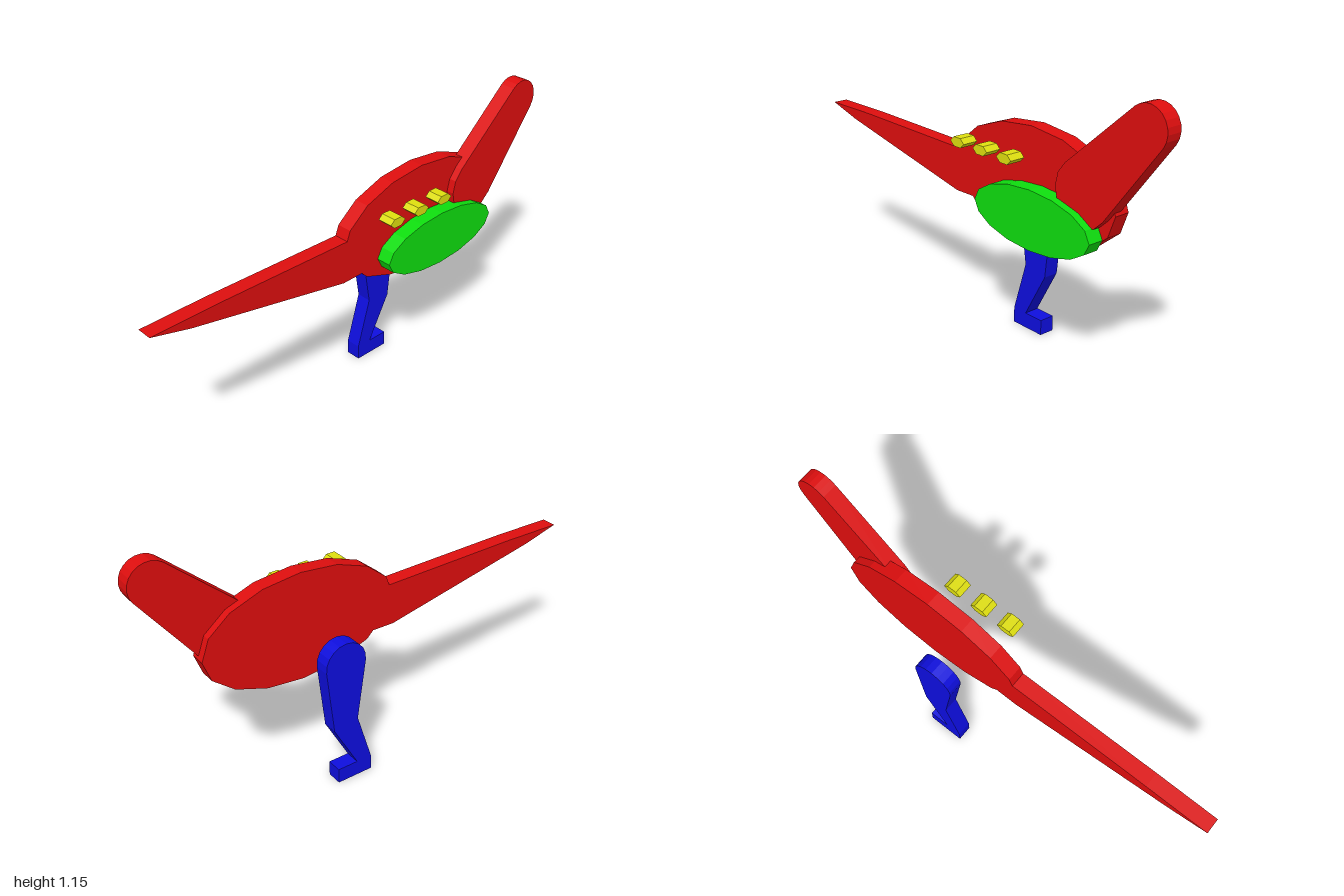
import * as THREE from 'three';

const DEPTH = 0.067;
const paint = (name, color) => {
  const m = new THREE.MeshStandardMaterial({ color });
  m.name = name;
  return m;
};

// Points along an elliptical arc, angles in degrees
function arc(cx, cy, rx, ry, from, to, steps) {
  const pts = [];
  for (let i = 0; i <= steps; i++) {
    const a = THREE.MathUtils.degToRad(from + ((to - from) * i) / steps);
    pts.push([cx + rx * Math.cos(a), cy + ry * Math.sin(a)]);
  }
  return pts;
}

// Flat cut-out with its back face at the given z
function cutout(name, points, z, material) {
  const shape = new THREE.Shape(points.map(([x, y]) => new THREE.Vector2(x, y)));
  const geometry = new THREE.ExtrudeGeometry(shape, { depth: DEPTH, bevelEnabled: false });
  const mesh = new THREE.Mesh(geometry, material);
  mesh.name = name;
  mesh.position.z = z;
  return mesh;
}

export function createModel() {
  const red = paint('red', 0xdd0e0e);
  const green = paint('green', 0x0edd0e);
  const blue = paint('blue', 0x0e0edd);
  const yellow = paint('yellow', 0xdddd0e);
  const model = new THREE.Group();
  model.name = 'bird';

  // Oval body running into a long pointed tail
  model.add(cutout('bodyAndTail', [
    ...arc(0.335, 0.703, 0.432, 0.234, -135, 157.5, 13),
    [-0.08, 0.75], [-0.72, 0.758], [-1, 0.755], [-0.83, 0.71], [-0.1, 0.565], [0, 0.567],
  ], -DEPTH / 2, red));

  // Neck and head: a tapered bar rounded at both ends
  model.add(cutout('neckAndHead', [
    ...arc(0.912, 1.06, 0.087, 0.087, -35, 130, 10),
    ...arc(0.63, 0.755, 0.13, 0.13, 130, 325, 8),
  ], 0, red));

  // Wing
  model.add(cutout('wing', arc(0.4, 0.597, 0.31, 0.121, 0, 337.5, 15), DEPTH / 2, green));

  // Bent leg with a foot
  model.add(cutout('legAndFoot', [
    [0.11, 0], [0.272, 0], [0.272, 0.066], [0.18, 0.066], [0.288, 0.265],
    ...arc(0.227, 0.56, 0.093, 0.093, -6, 188, 10),
    [0.175, 0.285], [0.11, 0.066],
  ], -DEPTH * 2.5, blue));

  // Three small six-sided spots along the back
  for (const x of [0.065, 0.198, 0.331]) {
    model.add(cutout('spot', arc(x, 0.836, 0.04, 0.022, 0, 300, 5), DEPTH * 1.5, yellow));
  }
  return model;
}
